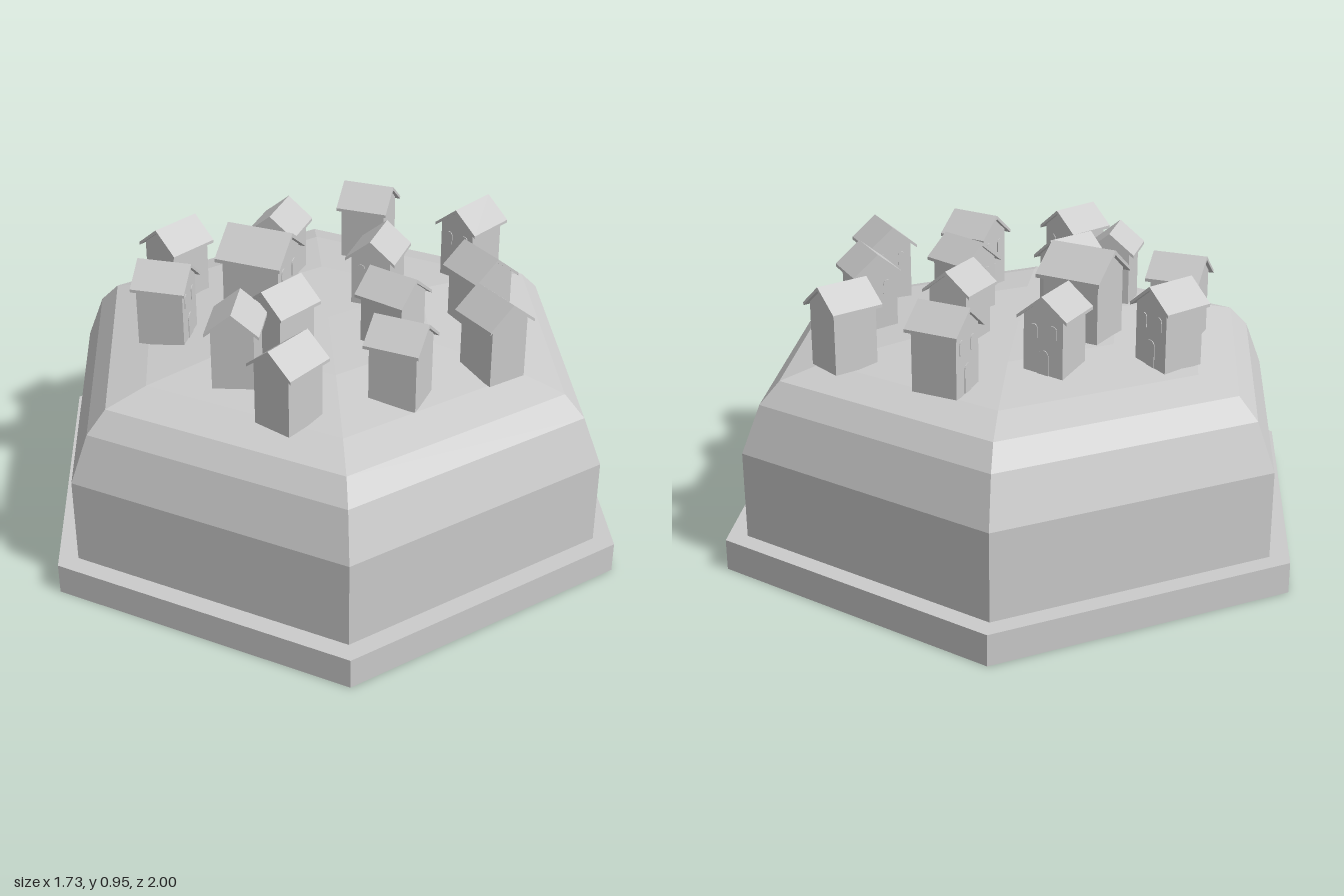
import * as THREE from 'three';

const material = new THREE.MeshStandardMaterial({ color: 0xcccccc, flatShading: true });

function part(name, geometry, parent) {
  const mesh = new THREE.Mesh(geometry, material);
  mesh.name = name;
  parent.add(mesh);
  return mesh;
}

// Extrudes a closed outline along z, centred on z = 0
function prism(points, depth) {
  const shape = new THREE.Shape(points.map(([x, y]) => new THREE.Vector2(x, y)));
  return new THREE.ExtrudeGeometry(shape, { depth, bevelEnabled: false }).translate(0, 0, -depth / 2);
}

// Thin panel with a rounded top
function archPanel(width, height) {
  const r = width / 2;
  const shape = new THREE.Shape();
  shape.moveTo(-r, 0);
  shape.lineTo(r, 0);
  shape.lineTo(r, height - r);
  shape.absarc(0, height - r, r, 0, Math.PI, false);
  shape.closePath();
  return new THREE.ExtrudeGeometry(shape, { depth: 0.003, bevelEnabled: false, curveSegments: 4 });
}

const bodyGeometry = prism([[-0.065, 0], [0.065, 0], [0.065, 0.201], [0, 0.254], [-0.065, 0.201]], 0.15);
const roofGeometry = prism(
  [[-0.083, 0.187], [0, 0.253], [0.083, 0.187], [0.083, 0.197], [0, 0.265], [-0.083, 0.197]], 0.175);
const doorGeometry = archPanel(0.036, 0.09);
const windowGeometry = archPanel(0.026, 0.045);

// House whose door gable faces the direction (dx, dz)
function createHouse([x, z, dx, dz, wide = 1, tall = 1]) {
  const house = new THREE.Group();
  house.name = 'house';
  part('houseBody', bodyGeometry, house);
  part('gableRoof', roofGeometry, house);
  part('door', doorGeometry, house).position.set(0, 0.005, 0.0745);
  for (const side of [-1, 1]) {
    part('window', windowGeometry, house).position.set(side * 0.032, 0.13, 0.0745);
  }
  house.position.set(x, 0.635, z);
  house.rotation.y = Math.atan2(dx, dz);
  house.scale.set(wide, tall, wide);
  return house;
}

// x, z, door direction x, door direction z, horizontal scale, vertical scale
const houses = [
  [0.17, -0.51, -0.92, -0.39],
  [-0.14, -0.35, 0.4, -0.92],
  [-0.48, -0.25, 0.72, -0.69],
  [0.5, -0.34, -0.72, 0.69],
  [0.17, -0.14, -0.4, 0.92],
  [-0.21, -0.08, 0.9, 0.43, 1.27, 1.2],
  [-0.51, 0.03, 0.95, 0.3],
  [0.48, 0.01, -0.49, -0.87],
  [0.19, 0.15, -0.77, -0.64],
  [-0.155, 0.195, 0.72, -0.69],
  [-0.295, 0.31, 0.18, -0.98],
  [0.48, 0.31, -0.49, -0.87],
  [0.185, 0.445, -0.88, -0.47],
  [-0.15, 0.55, 0.68, -0.73],
];

export function createModel() {
  const model = new THREE.Group();
  model.name = 'hexagonalVillage';

  // Hexagonal plinth with a corner toward the front
  part('plinth', new THREE.CylinderGeometry(1, 1, 0.1, 6).translate(0, 0.05, 0), model);

  // Six-sided mound with a rounded shoulder
  const profile = [[0.93, 0.1], [0.93, 0.38], [0.867, 0.53], [0.8, 0.597], [0.66, 0.633], [0.36, 0.667], [0, 0.67]];
  const mound = new THREE.LatheGeometry(profile.map(([r, y]) => new THREE.Vector2(r, y)), 6).toNonIndexed();
  mound.computeVertexNormals();
  part('mound', mound, model);

  // Cluster of houses
  const village = new THREE.Group();
  village.name = 'village';
  houses.forEach((h) => village.add(createHouse(h)));
  model.add(village);
  return model;
}
